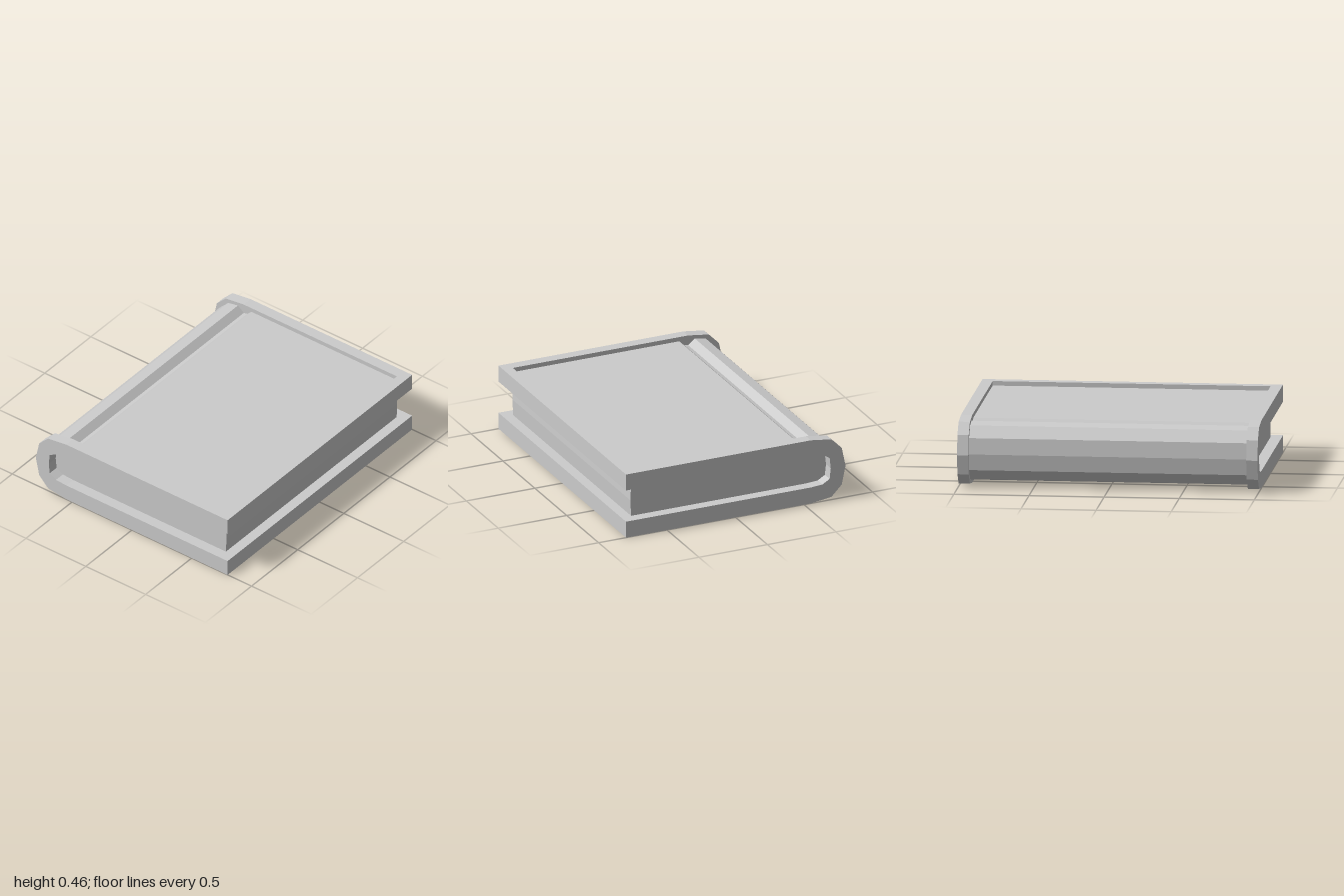
import * as THREE from 'three';

const MID = 0.2275; // half height, the mirror plane of the book

export function createModel() {
  const group = new THREE.Group();
  const material = new THREE.MeshStandardMaterial({ color: 0xcccccc, flatShading: true });

  const add = (name, geometry) => {
    const mesh = new THREE.Mesh(geometry, material);
    mesh.name = name;
    group.add(mesh);
    return mesh;
  };

  // Completes an upper half profile (ending on the mid plane) with its mirror image
  const mirrored = (half) => [
    ...half,
    ...half.slice(0, -1).reverse().map(([x, y]) => [x, 2 * MID - y]),
  ];

  // Extrudes an x-y outline along z between two depths
  const slab = (name, points, z0, z1) => {
    const shape = new THREE.Shape(points.map(([x, y]) => new THREE.Vector2(x, y)));
    const geometry = new THREE.ExtrudeGeometry(shape, { depth: z1 - z0, bevelEnabled: false });
    return add(name, geometry.translate(0, 0, z0));
  };

  const inner = [[-0.55, 0.34], [-0.635, 0.334], [-0.687, 0.303], [-0.695, MID]];
  const cShape = (outer, edge) => [
    ...mirrored(outer),
    ...mirrored([[edge, 0.34], ...inner]).reverse(),
  ];

  // Raised U-shaped rims at both ends of the cover
  const rim = cShape([[0.8, 0.455], [-0.55, 0.455], [-0.7, 0.435], [-0.775, 0.36], [-0.803, MID]], 0.8);
  slab('frontRim', rim, 0.925, 1);
  slab('backRim', rim, -1, -0.925);

  // Raised strips along the opening edge of each cover board
  for (const [name, y] of [['upperEdgeStrip', 0.3975], ['lowerEdgeStrip', 0.0575]]) {
    add(name, new THREE.BoxGeometry(0.07, 0.115, 1.85)).position.set(0.765, y, 0);
  }

  // Recessed cover with a hinge groove beside the rounded spine
  const cover = cShape([
    [0.73, 0.425], [-0.485, 0.425], [-0.52, 0.392], [-0.55, 0.385], [-0.598, 0.425],
    [-0.68, 0.408], [-0.752, 0.335], [-0.765, MID],
  ], 0.73);
  slab('coverAndSpine', cover, -0.925, 0.925);

  // Page block, set in from the rims
  const pages = [...mirrored([[0.728, 0.34], ...inner]), [0.733, MID]];
  slab('pages', pages, -0.925, 0.925);

  return group;
}
